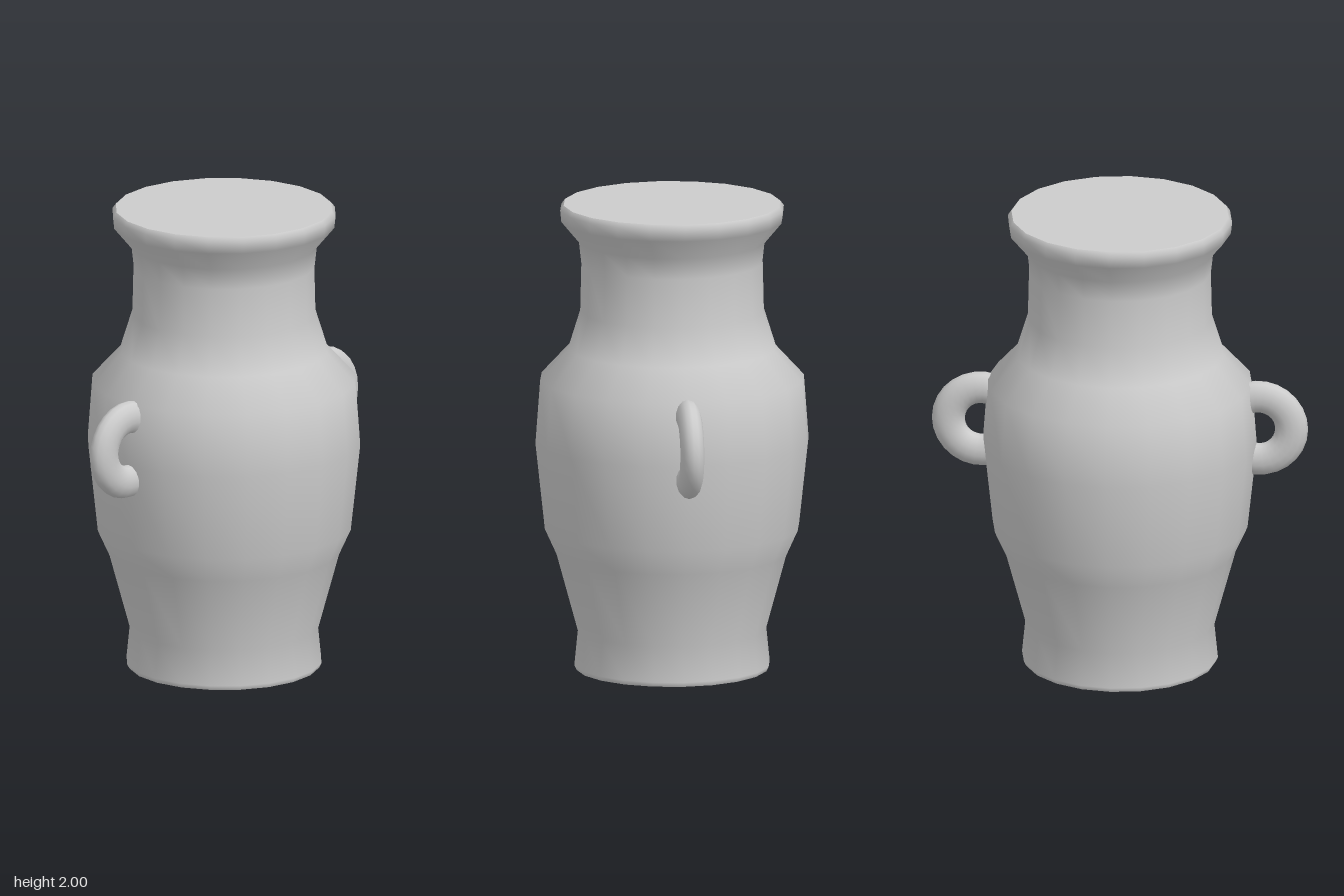
import * as THREE from 'three';

const SIDES = 20;

export function createModel() {
  const group = new THREE.Group();
  const material = new THREE.MeshStandardMaterial({ color: 0xcccccc });
  const add = (name, geometry) => {
    const mesh = new THREE.Mesh(geometry, material);
    mesh.name = name;
    group.add(mesh);
    return mesh;
  };

  // Turned body: foot, belly, shoulder, neck and flared rim
  const profile = [
    [0.405, 0], [0.415, 0.02], [0.40, 0.17], [0.49, 0.5], [0.54, 0.61],
    [0.58, 0.98], [0.56, 1.25], [0.44, 1.38], [0.39, 1.54], [0.385, 1.75],
    [0.395, 1.84], [0.47, 1.93], [0.475, 1.98], [0.46, 2],
  ].map(([r, y]) => new THREE.Vector2(r, y));
  add('body', new THREE.LatheGeometry(profile, SIDES));

  // Flat discs closing the mouth and the foot
  const disc = (name, radius, y, tilt) =>
    add(name, new THREE.CircleGeometry(radius, SIDES).rotateX(tilt).translate(0, y, 0));
  disc('topCap', 0.46, 2, -Math.PI / 2);
  disc('bottomCap', 0.405, 0, Math.PI / 2);

  // Loop handles, flattened in depth, with their ends sunk into the belly
  const arc = THREE.MathUtils.degToRad(216);
  for (const [name, side] of [['leftHandle', 1], ['rightHandle', -1]]) {
    const loop = new THREE.TorusGeometry(0.14, 0.07, 14, 16, arc)
      .rotateZ(-arc / 2)
      .scale(1, 1, 0.72)
      .rotateY(side > 0 ? 0 : Math.PI);
    add(name, loop).position.set(side * 0.587, 1.06, 0);
  }
  return group;
}
